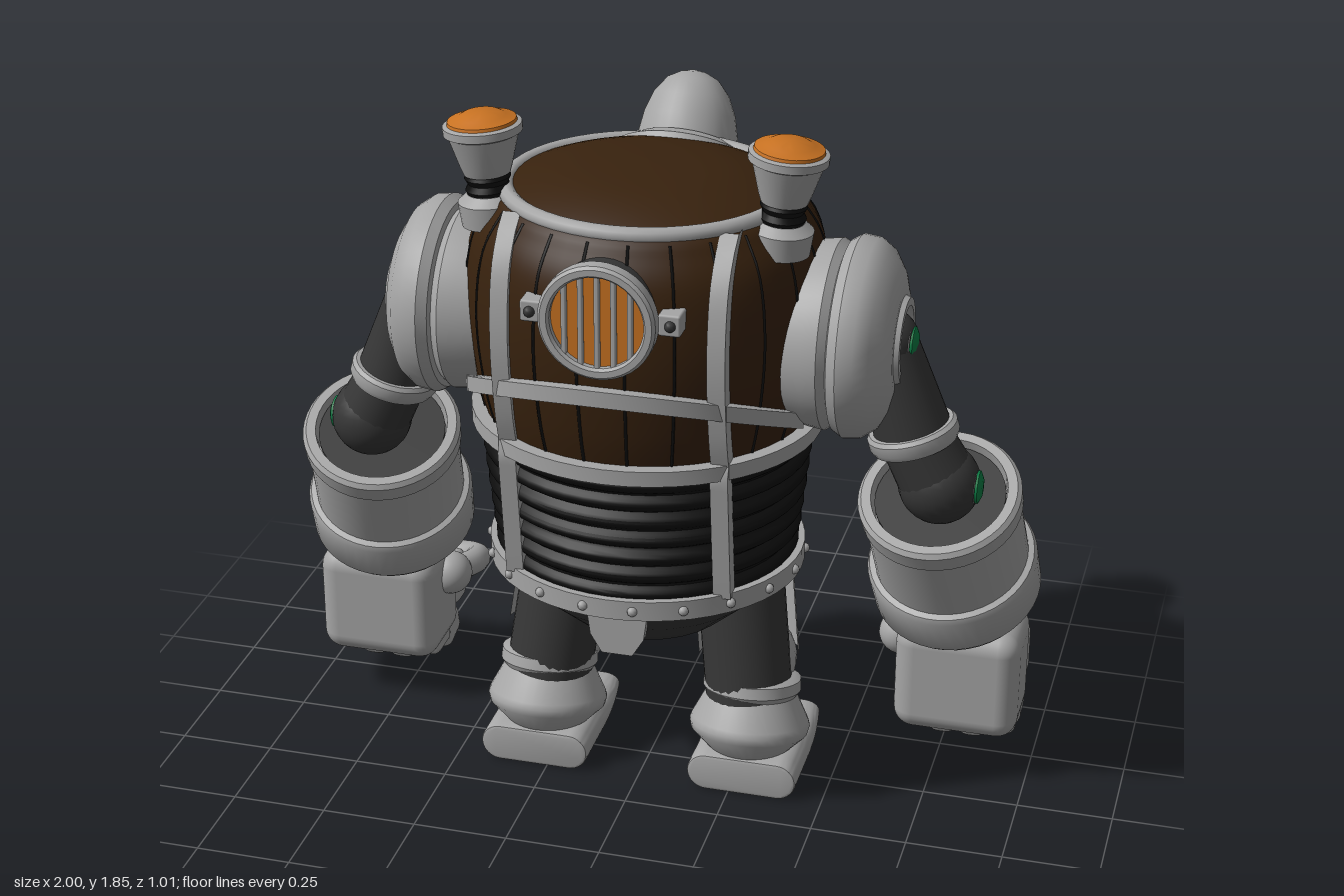
import * as THREE from 'three';
import { toCreasedNormals } from 'three/addons/utils/BufferGeometryUtils.js';
import { RoundedBoxGeometry } from 'three/addons/geometries/RoundedBoxGeometry.js';

const paint = (name, color) => Object.assign(new THREE.MeshStandardMaterial({ color }), { name });
const V = (x, y, z) => new THREE.Vector3(x, y, z);

export function createModel() {
  const steel = paint('steel', 0xa6a6a6), dark = paint('dark joint', 0x363636);
  const black = paint('black rubber', 0x0c0c0c), wood = paint('brown hull', 0x38220e);
  const amber = paint('amber', 0xc87222), green = paint('green', 0x0b7f46);
  const steelShell = paint('steel shell', 0xa6a6a6);
  steelShell.side = THREE.DoubleSide;

  const add = (parent, name, geo, mat, x = 0, y = 0, z = 0) => {
    const m = new THREE.Mesh(geo, mat);
    m.name = name;
    m.position.set(x, y, z);
    parent.add(m);
    return m;
  };
  const group = (parent, name) => {
    const g = new THREE.Group();
    g.name = name;
    parent.add(g);
    return g;
  };
  const lathe = (pts, n = 40) => toCreasedNormals(
    new THREE.LatheGeometry(pts.map(p => new THREE.Vector2(p[0], p[1])), n), 0.6);
  const cyl = (a, b, h, n = 28) => new THREE.CylinderGeometry(a, b, h, n);
  const ball = (r, n = 24) => new THREE.SphereGeometry(r, n, Math.round(n * 0.7));
  const box = (x, y, z, r = 0.015) => new RoundedBoxGeometry(x, y, z, 2, r);
  // put local y along the line from a to b, with the origin at a
  const along = (obj, a, b) => {
    obj.position.copy(a);
    obj.quaternion.setFromUnitVectors(V(0, 1, 0), b.clone().sub(a).normalize());
    return obj;
  };
  const rod = (parent, name, a, b, ra, rb, mat) => {
    const h = a.distanceTo(b);
    return along(add(parent, name, cyl(rb, ra, h).translate(0, h / 2, 0), mat), a, b);
  };
  // flat strip with a rectangular section; frame(t) gives point, side and outward vectors
  const strip = (frame, w, thick, n) => {
    const pos = [], idx = [];
    for (let i = 0; i <= n; i++) {
      const { p, s, o } = frame(i / n);
      for (const [a, b] of [[-1, -0.02], [1, -0.02], [1, thick], [-1, thick]])
        pos.push(...p.clone().addScaledVector(s, a * w / 2).addScaledVector(o, b).toArray());
      if (i < n) for (let k = 0; k < 4; k++) {
        const a = i * 4 + k, b = i * 4 + (k + 1) % 4;
        idx.push(a, b, b + 4, a, b + 4, a + 4);
      }
    }
    const g = new THREE.BufferGeometry();
    g.setAttribute('position', new THREE.Float32BufferAttribute(pos, 3));
    g.setIndex(idx);
    return toCreasedNormals(g, 0.6);
  };

  const model = new THREE.Group();
  model.name = 'robot';

  // Torso: barrel hull, ribbed waist and bands
  const torso = group(model, 'torso');
  torso.position.z = 0.02;
  torso.scale.z = 0.95;
  const hull = new THREE.SplineCurve([[0.41, 1.05], [0.435, 1.15], [0.455, 1.3], [0.455, 1.42],
    [0.437, 1.53], [0.4, 1.6], [0.35, 1.65], [0.2, 1.7], [0, 1.715]]
    .map(p => new THREE.Vector2(...p))).getPoints(48);
  const radius = y => {
    if (y < 1.05) return THREE.MathUtils.lerp(0.385, 0.425, (y - 0.67) / 0.38);
    const i = Math.max(1, hull.findIndex(p => p.y >= y)), a = hull[i - 1], b = hull[i];
    return THREE.MathUtils.lerp(a.x, b.x, (y - a.y) / (b.y - a.y));
  };
  add(torso, 'barrel hull', new THREE.LatheGeometry(hull, 48), wood);
  const seamPath = [];
  for (let y = 1.07; y < 1.64; y += 0.07) seamPath.push(V(0, y, radius(y)));
  const seam = new THREE.TubeGeometry(new THREE.CatmullRomCurve3(seamPath), 16, 0.004, 5);
  for (let i = 0; i < 24; i++) add(torso, 'plank seam', seam, black).rotation.y = (i + 0.5) * Math.PI / 12;
  const folds = [];
  for (let i = 0; i <= 60; i++) {
    const t = i / 60;
    folds.push([0.365 + 0.04 * t + 0.026 * Math.abs(Math.sin(t * 7 * Math.PI)), 0.67 + 0.37 * t]);
  }
  add(torso, 'ribbed waist', lathe(folds, 48), black);
  add(torso, 'top ring', new THREE.TorusGeometry(0.35, 0.022, 10, 48).rotateX(Math.PI / 2), steel, 0, 1.645, 0);
  add(torso, 'middle band', lathe([[0.39, 1.03], [0.45, 1.03], [0.45, 1.07], [0.39, 1.07]], 48), steel);
  add(torso, 'bottom band', lathe([[0.33, 0.637], [0.41, 0.637], [0.41, 0.69], [0.33, 0.69]], 48), steel);
  for (let i = 0; i < 20; i++) {
    const a = (i + 0.5) * Math.PI / 10;
    add(torso, 'band rivet', ball(0.013, 10), steel, 0.41 * Math.sin(a), 0.663, 0.41 * Math.cos(a));
  }
  for (const x of [-0.27, 0.27]) for (const turn of [0, Math.PI]) {
    const strap = strip(t => {
      const y = 1.645 - 0.965 * t, r = radius(y), z = Math.sqrt(r * r - x * x);
      return { p: V(x, y, z), s: V(1, 0, 0), o: V(0, 0, 1) };
    }, 0.045, 0.03, 30);
    add(torso, 'vertical strap', strap, steel).rotation.y = turn;
  }
  add(torso, 'chest arch', strip(t => {
    const a = (t * 2 - 1) * 1.25, y = 1.12 + 0.15 * Math.cos(a * 1.25), o = V(Math.sin(a), 0, Math.cos(a));
    return { p: o.clone().multiplyScalar(radius(y)).setY(y), s: V(0, 1, 0), o };
  }, 0.042, 0.03, 36), steel);

  // Round grilles on both faces
  const grille = (name, r, y, z, turn) => {
    const g = group(model, name);
    g.position.set(0, y, z);
    g.rotation.y = turn;
    const disc = (n, geo, mat, dz) => add(g, n, geo.rotateX(Math.PI / 2), mat, 0, 0, dz);
    disc('grille casing', cyl(r * 0.92, r * 0.92, 0.1, 40), dark, -0.06);
    disc('grille glass', cyl(r * 0.84, r * 0.84, 0.008, 40), amber, -0.006);
    disc('grille rim', lathe([[r * 0.8, -0.02], [r, -0.02], [r, 0.012], [r * 0.95, 0.02],
      [r * 0.84, 0.02], [r * 0.8, 0.012], [r * 0.8, -0.02]]), steel, 0);
    for (let i = -2; i <= 2; i++) {
      const x = i * r * 0.28;
      add(g, 'grille bar', box(r * 0.09, 2 * Math.sqrt((r * 0.83) ** 2 - x * x), 0.016, 0.004), steel, x, 0, 0.004);
    }
    for (const s of [-1, 1]) {
      add(g, 'grille bracket', box(0.055, 0.055, 0.07, 0.006), steel, s * (r + 0.025), 0, -0.05);
      add(g, 'bracket bolt', ball(0.014, 10), dark, s * (r + 0.028), 0, -0.014);
    }
  };
  grille('chest grille', 0.145, 1.47, 0.47, 0);
  grille('face grille', 0.18, 1.235, -0.46, Math.PI);

  // Head in its slanted collar
  const collar = add(model, 'head collar', lathe([[0.12, -0.05], [0.165, -0.05], [0.182, -0.03], [0.182, 0],
    [0.16, 0.012], [0.14, 0.025], [0.11, 0.01]]), steel, 0, 1.59, -0.345);
  collar.rotation.x = -0.7;
  const head = group(model, 'head');
  head.position.set(0, 1.54, -0.34);
  head.rotation.x = -0.35;
  add(head, 'bullet head', new THREE.LatheGeometry([[0.14, -0.08], [0.138, 0.03], [0.13, 0.1], [0.118, 0.16],
    [0.098, 0.21], [0.065, 0.25], [0.03, 0.267], [0, 0.272]].map(p => new THREE.Vector2(...p)), 32), steel);
  add(head, 'nose ridge', box(0.025, 0.11, 0.04, 0.01), steel, 0, 0.1, -0.122);
  for (const s of [-1, 1]) {
    const eye = add(head, 'eye', cyl(0.023, 0.025, 0.03, 20).rotateX(-Math.PI / 2), amber, s * 0.055, 0.125, -0.114);
    eye.rotation.y = -s * 0.4;
  }

  // Pelvis and its hanging plates
  add(model, 'pelvis', lathe([[0, 0.465], [0.21, 0.47], [0.3, 0.55], [0.34, 0.65]], 28), dark);
  const plate = new THREE.Shape([[-0.085, 0], [-0.07, -0.11], [-0.04, -0.16], [0.04, -0.16], [0.07, -0.11], [0.085, 0]]
    .map(p => new THREE.Vector2(...p)));
  for (const turn of [0, Math.PI]) {
    const pivot = group(model, 'hip plate');
    pivot.rotation.y = turn;
    add(pivot, 'hanging plate', new THREE.ExtrudeGeometry(plate, { depth: 0.025, bevelEnabled: false }), steel, 0, 0.645, 0.295);
  }

  // One side: lamp, arm and leg
  const side = group(model, 'left side');

  const lamp = group(side, 'shoulder lamp');
  lamp.position.set(0.365, 1.6, 0.145);
  lamp.rotation.z = -0.08;
  add(lamp, 'lamp base', lathe([[0.075, -0.04], [0.08, 0.02], [0.055, 0.04], [0, 0.04]], 28), steel);
  add(lamp, 'lamp neck', lathe([[0.05, 0.03], [0.058, 0.05], [0.05, 0.065], [0.058, 0.08], [0.05, 0.095]], 28), black);
  add(lamp, 'lamp cup', lathe([[0, 0.09], [0.058, 0.09], [0.065, 0.11], [0.088, 0.19], [0.098, 0.195],
    [0.098, 0.215], [0.085, 0.22], [0, 0.22]], 32), steel);
  add(lamp, 'lamp lens', lathe([[0.088, 0.215], [0.085, 0.227], [0.06, 0.235], [0.045, 0.243], [0, 0.246]], 32), amber);

  const arm = group(side, 'arm');
  const pad = add(arm, 'shoulder pad', lathe([[0.22, 0.38], [0.235, 0.44], [0.24, 0.48], [0.225, 0.5], [0.24, 0.505],
    [0.255, 0.53], [0.25, 0.57], [0.225, 0.605], [0.18, 0.632], [0.13, 0.647], [0.115, 0.647], [0.11, 0.66],
    [0.09, 0.66], [0.085, 0.63], [0, 0.63]], 48), steel, 0, 1.3, 0.015);
  pad.rotation.z = -Math.PI / 2;
  const shoulder = V(0.61, 1.3, 0.015), cuff = V(0.685, 1.05, 0.01), elbow = V(0.755, 0.92, 0.005);
  add(arm, 'shoulder ball', ball(0.08), dark).position.copy(shoulder);
  rod(arm, 'upper arm', shoulder, cuff, 0.075, 0.1, dark);
  rod(arm, 'lower arm link', cuff, elbow, 0.09, 0.1, dark);
  add(arm, 'elbow ball', ball(0.105), dark).position.copy(elbow);
  along(add(arm, 'arm cuff', lathe([[0.08, -0.025], [0.108, -0.025], [0.116, -0.01], [0.116, 0.015],
    [0.108, 0.025], [0.08, 0.025]], 32), steel), cuff, shoulder);
  for (const [x, y, z] of [[0.672, 1.3, 0.02], [0.848, 0.92, 0.005]]) {
    const button = group(arm, 'joint button');
    button.position.set(x, y, z);
    button.rotation.z = -Math.PI / 2;
    add(button, 'button rim', cyl(0.046, 0.05, 0.05, 24), steel, 0, -0.024, 0);
    add(button, 'green button', lathe([[0.043, -0.01], [0.042, 0.008], [0.025, 0.016], [0, 0.018]], 24), green);
  }
  const wrist = V(0.785, 0.5, -0.215), cupTop = V(0.748, 0.87, -0.04);
  along(add(arm, 'forearm', lathe([[0, 0], [0.17, 0], [0.205, 0.012], [0.22, 0.035], [0.222, 0.14], [0.215, 0.155],
    [0.2, 0.16], [0.2, 0.35], [0.208, 0.355], [0.21, 0.4], [0.2, 0.412], [0.175, 0.412], [0.17, 0.36], [0, 0.36]], 44),
    steel), wrist, cupTop);
  along(add(arm, 'forearm socket', cyl(0.168, 0.168, 0.01, 36), dark), cupTop.clone().lerp(wrist, 0.06), cupTop);
  rod(arm, 'wrist', V(0.785, 0.51, -0.21), V(0.795, 0.42, -0.25), 0.16, 0.15, dark);

  // Fist with four curled fingers and a thumb
  const hand = group(arm, 'hand');
  add(hand, 'fist', new RoundedBoxGeometry(0.33, 0.31, 0.25, 4, 0.055), steel, 0.805, 0.285, -0.2);
  for (let i = 0; i < 4; i++) {
    const x = 0.685 + i * 0.08, lift = [0.02, 0, 0, 0.02][i];
    add(hand, 'finger root', box(0.072, 0.1, 0.12, 0.025), steel, x, 0.14 + lift, -0.21);
    add(hand, 'finger middle', box(0.072, 0.09, 0.11, 0.025), steel, x, 0.115 + lift, -0.295).rotation.x = 0.25;
    add(hand, 'finger tip', box(0.07, 0.15, 0.085, 0.022), steel, x, 0.255, -0.37);
  }
  add(hand, 'thumb base', ball(0.06), steel, 0.635, 0.345, -0.23);
  const thumb = new THREE.CatmullRomCurve3([V(0.63, 0.345, -0.24), V(0.6, 0.33, -0.34), V(0.63, 0.3, -0.425), V(0.72, 0.285, -0.45)]);
  add(hand, 'thumb', new THREE.TubeGeometry(thumb, 20, 0.036, 14), steel);
  add(hand, 'thumb tip', ball(0.036, 14), steel, 0.72, 0.285, -0.45);

  // Leg: thigh with rear guard, knee, flared ankle and foot
  const leg = group(side, 'leg');
  const hip = V(0.235, 0.57, -0.04), ankle = V(0.275, 0.24, 0.01);
  rod(leg, 'thigh', ankle, hip, 0.115, 0.115, dark);
  const guard = new THREE.CylinderGeometry(0.135, 0.135, 0.22, 20, 1, true, Math.PI / 2, Math.PI);
  along(add(leg, 'thigh guard', guard.translate(0, 0.21, -0.02), steelShell), ankle, hip);
  add(leg, 'knee ball', ball(0.12), steel, 0.265, 0.31, -0.06);
  const flare = add(leg, 'ankle flare', lathe([[0, -0.09], [0.1, -0.09], [0.155, -0.035], [0.16, -0.015], [0.155, 0],
    [0.12, 0.07], [0.13, 0.085], [0.128, 0.115], [0.11, 0.125], [0, 0.125]], 36), steel, 0.28, 0.17, 0.015);
  flare.rotation.x = -0.22;
  const sole = new THREE.Shape();
  sole.absarc(0.095, 0.052, 0.044, -Math.PI / 2, Math.PI / 2);
  sole.absarc(-0.095, 0.052, 0.044, Math.PI / 2, Math.PI * 1.5);
  const foot = new THREE.ExtrudeGeometry(sole, { depth: 0.39, steps: 8, curveSegments: 10,
    bevelThickness: 0.008, bevelSize: 0.008, bevelSegments: 2 });
  foot.translate(0, 0, -0.258);
  const fp = foot.attributes.position;
  for (let i = 0; i < fp.count; i++) {
    const k = THREE.MathUtils.clamp((-0.02 - fp.getZ(i)) / 0.25, 0, 1);
    fp.setY(i, fp.getY(i) * (1 - 0.5 * k) + 0.02 * k * k);
    fp.setX(i, fp.getX(i) * (1 - 0.15 * k * k));
  }
  add(leg, 'foot', toCreasedNormals(foot, 0.6), steel, 0.285, 0, 0);

  // Mirror the limbs to the other side
  const right = side.clone();
  right.name = 'right side';
  right.scale.x = -1;
  model.add(right);
  return model;
}
